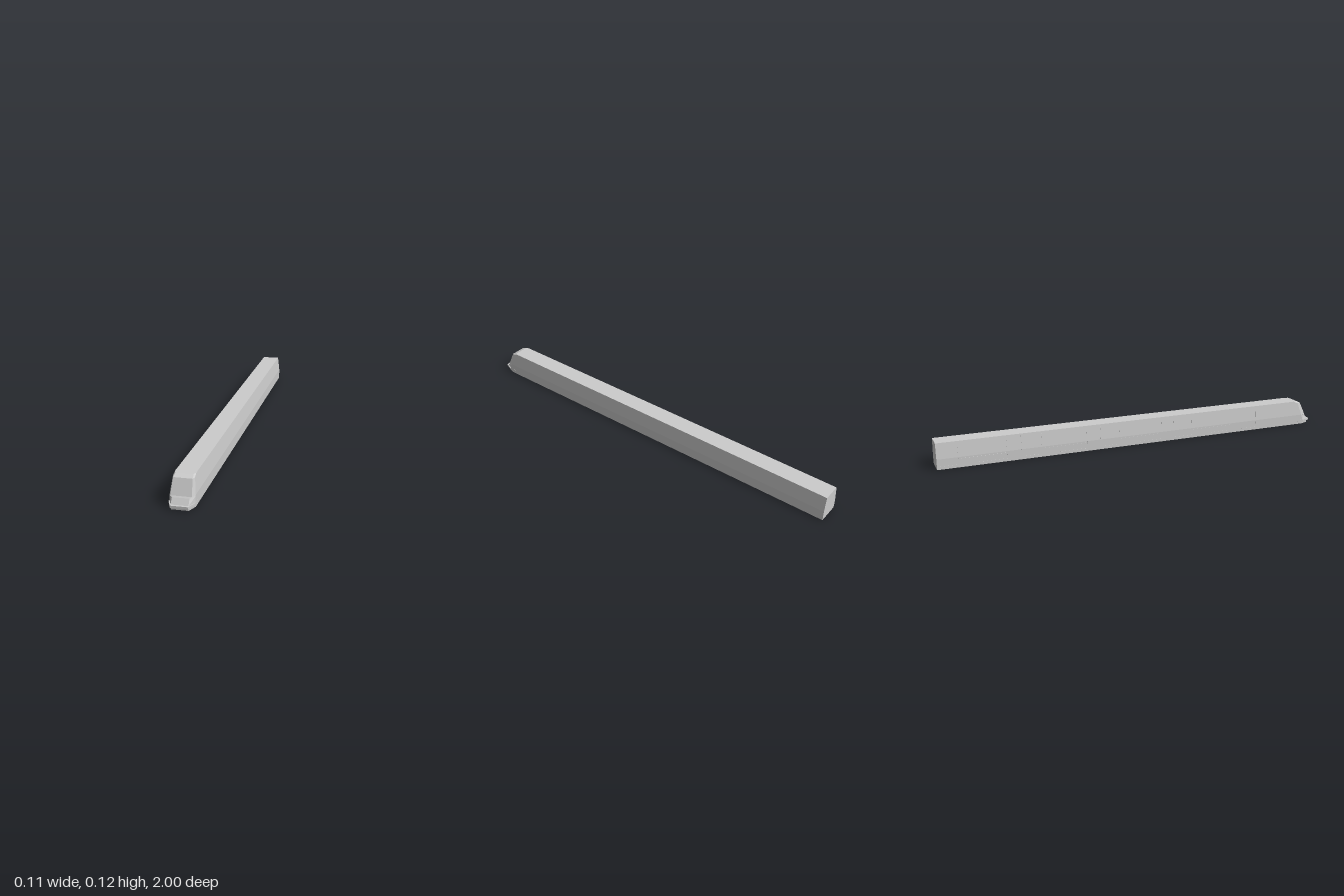
import * as THREE from 'three';

const BELT = 0.05, ROOF = 0.125, HALF = 0.053, TOP = 0.044;
const material = new THREE.MeshStandardMaterial({ color: 0xcccccc, flatShading: true });

// Half width of the body at height y: upright below the belt, leaning in above it
const wall = (y) => (y <= BELT ? HALF : HALF - ((HALF - TOP) * (y - BELT)) / (ROOF - BELT));

function add(group, name, geometry) {
  const mesh = new THREE.Mesh(geometry, material);
  mesh.name = name;
  group.add(mesh);
  return mesh;
}

// Extrude an [x, y] outline along z
function extrudeZ(points, z0, z1) {
  const shape = new THREE.Shape(points.map(([x, y]) => new THREE.Vector2(x, y)));
  const geometry = new THREE.ExtrudeGeometry(shape, { depth: z1 - z0, bevelEnabled: false });
  return geometry.translate(0, 0, z0);
}

// Loft through level plan outlines: y, half width w, corner z, front half width f, front z
function loftNose(rings, backZ) {
  const pos = [], index = [], n = 6;
  for (const [y, w, zc, f, zf] of rings) {
    pos.push(-w, y, backZ, -w, y, zc, -f, y, zf, f, y, zf, w, y, zc, w, y, backZ);
  }
  for (let i = 0; i < rings.length - 1; i++) {
    for (let j = 0; j < n; j++) {
      const a = i * n + j, b = i * n + ((j + 1) % n);
      index.push(a, b, b + n, a, b + n, a + n);
    }
  }
  const last = (rings.length - 1) * n;
  for (let j = 1; j < n - 1; j++) {
    index.push(0, j + 1, j);
    index.push(last, last + j, last + j + 1);
  }
  const geometry = new THREE.BufferGeometry();
  geometry.setAttribute('position', new THREE.Float32BufferAttribute(pos, 3));
  geometry.setIndex(index);
  geometry.computeVertexNormals();
  return geometry;
}

// Thin moulding that follows the -x wall between two heights
function moulding(y0, y1, z0, z1) {
  const ys = y0 < BELT && y1 > BELT ? [y0, BELT, y1] : [y0, y1];
  const outer = ys.map((y) => [-wall(y) - 0.001, y]);
  const inner = ys.map((y) => [-wall(y) + 0.001, y]).reverse();
  return extrudeZ([...outer, ...inner], z0, z1);
}

export function createModel() {
  const train = new THREE.Group();
  train.name = 'train';

  // Two equal carriages behind the cab
  const section = [[-HALF, 0], [HALF, 0], [HALF, BELT], [TOP, ROOF], [-TOP, ROOF], [-HALF, BELT]];
  const seams = [-1, -0.21, 0.577];
  for (let i = 0; i < 2; i++) add(train, 'carriage', extrudeZ(section, seams[i], seams[i + 1]));

  // Cab with a raked windscreen above a narrower nose
  add(train, 'cab', loftNose([
    [0, HALF, 0.945, 0.036, 0.988],
    [0.02, HALF, 0.95, 0.036, 0.99],
    [0.045, HALF, 0.945, 0.036, 0.972],
    [BELT, HALF, 0.942, 0.044, 0.967],
    [0.115, wall(0.115), 0.92, 0.04, 0.937],
    [ROOF, TOP, 0.895, 0.038, 0.912],
  ], 0.577));

  // Bumper wrapped round the nose
  add(train, 'bumper', loftNose([
    [0.012, 0.054, 0.957, 0.037, 1],
    [0.021, 0.054, 0.957, 0.037, 1],
  ], 0.92));

  // Door and window mouldings on one side
  const line = 0.005;
  const trim = new THREE.Group();
  trim.name = 'sideTrim';
  train.add(trim);
  for (const z of [-1, -0.605, -0.21, 0.184, 0.577]) {
    const doorEnd = z + (z > 0.5 ? 0.085 : 0.103);
    add(trim, 'doorPost', moulding(0.012, 0.115, z, z + line));
    add(trim, 'doorPost', moulding(0.012, 0.115, doorEnd - line, doorEnd));
    add(trim, 'doorSill', moulding(0.012, 0.015, z, doorEnd));
    if (z > 0.5) continue;
    const panelEnd = z + 0.33;
    add(trim, 'panelPost', moulding(0.012, 0.115, panelEnd - line, panelEnd));
    add(trim, 'panelSill', moulding(0.012, 0.015, panelEnd - 0.14, panelEnd));
    add(trim, 'beltLine', moulding(0.04, 0.043, doorEnd, panelEnd));
  }
  return train;
}
